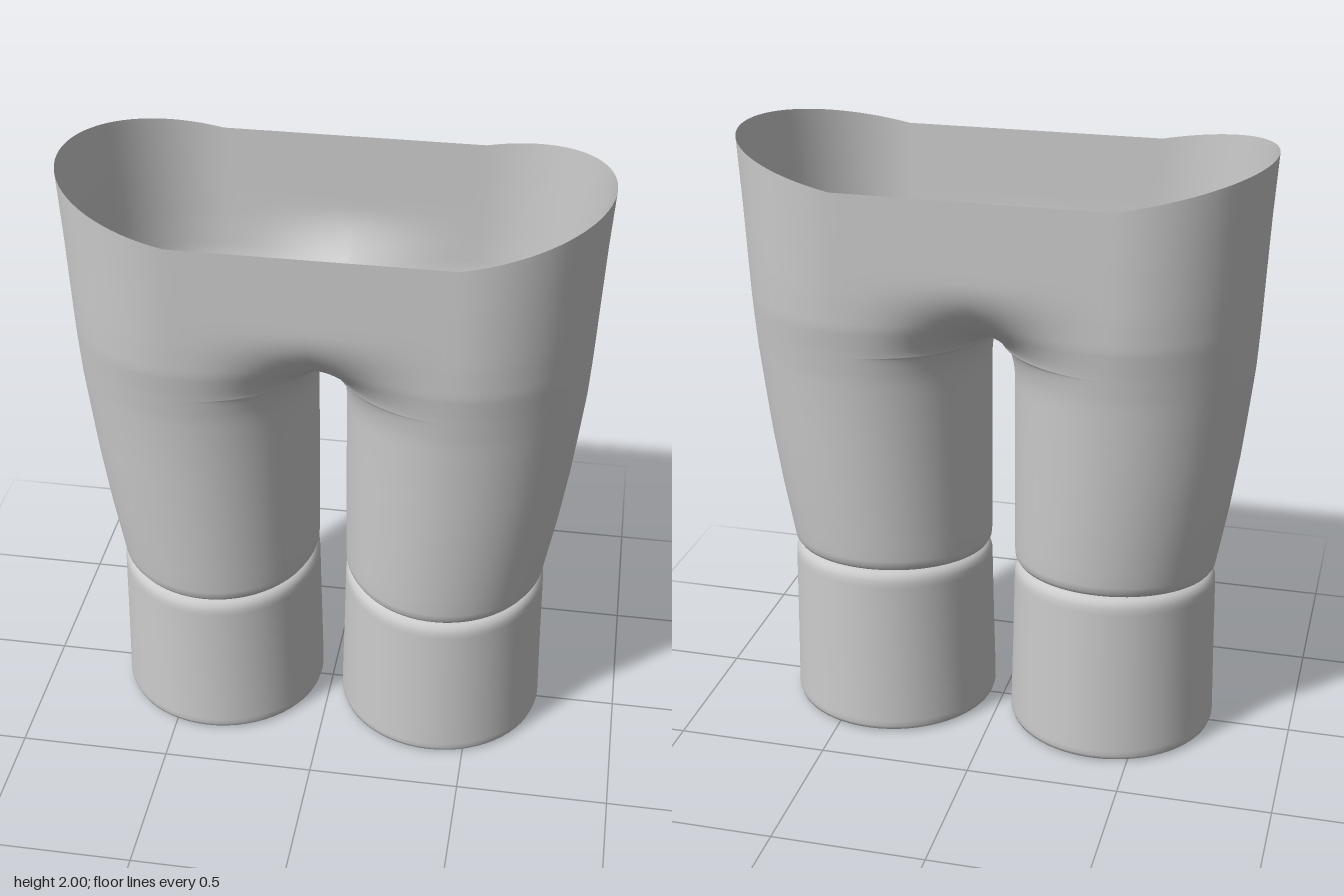
import * as THREE from 'three';
import { mergeVertices } from 'three/addons/utils/BufferGeometryUtils.js';

const CROTCH = 1.38, ARCH = 1.24, HIP = 1.66, WAIST = 1.915;
const clamp01 = (v) => Math.min(1, Math.max(0, v));

// Leg profile: height, outer x, leg centre x, half depth, inner x
const profile = [
  [0.578, 0.68, 0.385, 0.295, 0.09],
  [0.578, 0.695, 0.385, 0.31, 0.075],
  [0.584, 0.712, 0.385, 0.328, 0.06],
  [0.598, 0.721, 0.385, 0.338, 0.052],
  [0.62, 0.725, 0.386, 0.342, 0.05],
  [0.80, 0.757, 0.396, 0.356, 0.05],
  [1.00, 0.786, 0.408, 0.37, 0.05],
  [1.15, 0.803, 0.415, 0.38, 0.05],
  [1.30, 0.819, 0.422, 0.392, 0.05],
  [1.40, 0.825, 0.425, 0.405, 0.05],
  [1.48, 0.829, 0.427, 0.417, 0.05],
  [1.58, 0.834, 0.429, 0.421, 0.05],
  [1.75, 0.843, 0.43, 0.424, 0.05],
  [WAIST, 0.855, 0.43, 0.426, 0.05],
];

function sampleProfile(y) {
  let i = 0;
  while (i < profile.length - 2 && profile[i + 1][0] < y) i++;
  const a = profile[i], b = profile[i + 1], t = (y - a[0]) / (b[0] - a[0]);
  return a.map((v, k) => v + (b[k] - v) * t);
}

// Rows from hem to waist, denser around the crotch
function makeRows() {
  const rows = profile.slice(0, 5).map((r) => [...r]);
  for (let i = 1; i <= 10; i++) rows.push(sampleProfile(0.62 + (ARCH - 0.62) * i / 10));
  for (let i = 1; i <= 10; i++) rows.push(sampleProfile(ARCH + (CROTCH - ARCH) * Math.sin(i / 10 * Math.PI / 2)));
  for (let i = 1; i <= 18; i++) rows.push(sampleProfile(CROTCH + (HIP - CROTCH) * (1 - Math.cos(i / 18 * Math.PI / 2))));
  for (let i = 1; i <= 8; i++) rows.push(sampleProfile(HIP + (WAIST - HIP) * i / 8));
  return rows;
}

// One quarter of a section, running from the outer side to the inner side
function sectionPoints([y, outer, cx, depth, inner], n) {
  const v = clamp01((y - ARCH) / (CROTCH - ARCH));
  const u = clamp01((y - CROTCH) / (HIP - CROTCH));
  const xi = inner * Math.sqrt(1 - v * v);
  const neck = depth * Math.sqrt(1 - (1 - u) ** 2); // half depth where the legs meet
  const pts = [];
  for (let j = 0; j <= 2 * n; j++) {
    let x, z;
    if (j <= n) {
      const a = j / n * Math.PI / 2;
      x = cx + (outer - cx) * Math.cos(a);
      z = depth * Math.sin(a);
    } else {
      const a = (j - n) / n * Math.PI / 2;
      x = cx - (cx - xi) * Math.sin(a);
      const c = j === 2 * n ? 0 : Math.cos(a);
      z = Math.cbrt(c ** 3 * (depth ** 3 - neck ** 3) + neck ** 3);
    }
    pts.push([x, y, z]);
  }
  return pts;
}

// Slanted hem at the bottom, raised sides at the waist
function place([x, y, z], sx, sz) {
  const slant = -0.085 * z * sz * clamp01((1.1 - y) / 0.5);
  const rise = 0.085 * clamp01((x - 0.43) / 0.425) * clamp01((y - 1.45) / (WAIST - 1.45));
  return [x * sx, y + slant + rise, z * sz];
}

function trousersGeometry() {
  const n = 20, rows = makeRows().map((r) => sectionPoints(r, n)), pos = [];
  for (const [sx, sz] of [[1, 1], [1, -1], [-1, 1], [-1, -1]]) {
    const tri = (a, b, c) => {
      const t = sx * sz > 0 ? [a, b, c] : [a, c, b];
      t.forEach((p) => pos.push(...place(p, sx, sz)));
    };
    for (let i = 0; i < rows.length - 1; i++) {
      for (let j = 0; j < 2 * n; j++) {
        const a = rows[i][j], b = rows[i + 1][j], c = rows[i + 1][j + 1], d = rows[i][j + 1];
        tri(a, b, d);
        tri(b, c, d);
      }
    }
  }
  const g = new THREE.BufferGeometry();
  g.setAttribute('position', new THREE.Float32BufferAttribute(pos, 3));
  const merged = mergeVertices(g, 1e-4);
  merged.computeVertexNormals();
  return merged;
}

// Closed boot with rounded rims and a slanted top
function bootGeometry() {
  const points = [
    [0, 0], [0.326, 0], [0.33, 0.002], [0.343, 0.01], [0.347, 0.022], [0.347, 0.04], [0.341, 0.3],
    [0.337, 0.52], [0.336, 0.54], [0.331, 0.555], [0.322, 0.566], [0.308, 0.573], [0.295, 0.575],
    [0.285, 0.575], [0, 0.575],
  ].map(([r, y]) => new THREE.Vector2(r, y));
  let g = new THREE.LatheGeometry(points, 64);
  const p = g.attributes.position;
  for (let i = 0; i < p.count; i++) {
    p.setY(i, p.getY(i) - 0.09 * p.getZ(i) * p.getY(i) / 0.575);
  }
  g.deleteAttribute('uv');
  g.deleteAttribute('normal');
  g = mergeVertices(g, 1e-4);
  g.computeVertexNormals();
  return g;
}

export function createModel() {
  const group = new THREE.Group();
  group.name = 'trousersAndBoots';

  const cloth = new THREE.MeshStandardMaterial({ color: 0xcccccc, side: THREE.DoubleSide });
  const trousers = new THREE.Mesh(trousersGeometry(), cloth);
  trousers.name = 'trousers';
  group.add(trousers);

  const bootMaterial = new THREE.MeshStandardMaterial({ color: 0xcccccc });
  const geometry = bootGeometry();
  for (const [side, name] of [[1, 'leftBoot'], [-1, 'rightBoot']]) {
    const boot = new THREE.Mesh(geometry, bootMaterial);
    boot.name = name;
    boot.position.x = side * 0.386;
    group.add(boot);
  }
  return group;
}
